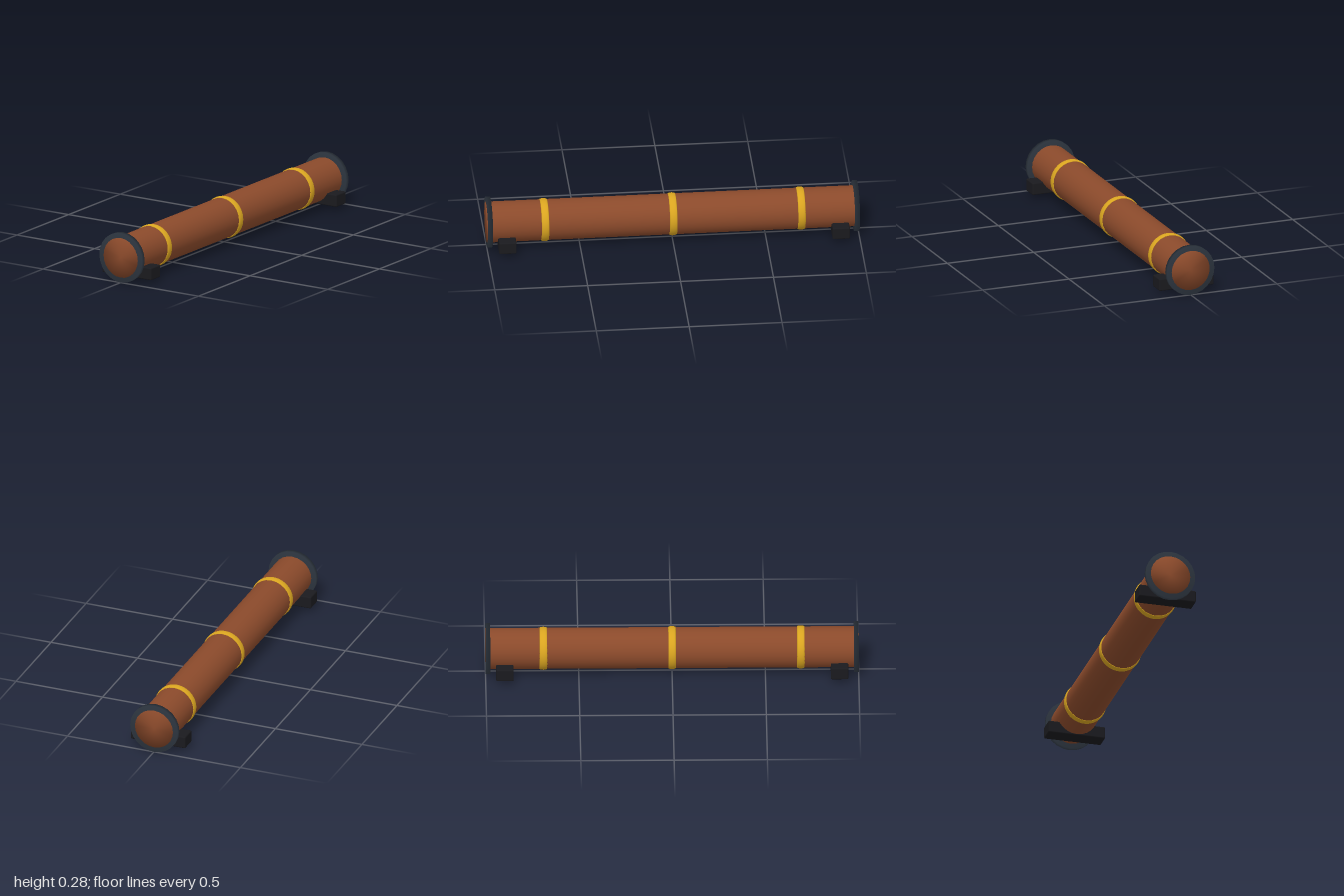
import * as THREE from 'three';
import { mergeVertices } from 'three/addons/utils/BufferGeometryUtils.js';
import { RoundedBoxGeometry } from 'three/addons/geometries/RoundedBoxGeometry.js';

const AXIS_Y = 0.1375;

const paint = (color) => new THREE.MeshStandardMaterial({ color });

// Closed cylinder along z whose caps share smooth normals with the wall
function softCylinder(radius, length) {
  const raw = new THREE.CylinderGeometry(radius, radius, length, 24);
  raw.deleteAttribute('normal');
  raw.deleteAttribute('uv');
  raw.rotateX(Math.PI / 2);
  raw.rotateZ(Math.PI);
  const geometry = mergeVertices(raw, 1e-5);
  geometry.computeVertexNormals();
  return geometry;
}

export function createModel() {
  const model = new THREE.Group();
  model.name = 'bandedTube';

  const add = (name, geometry, material, y, z) => {
    const mesh = new THREE.Mesh(geometry, material);
    mesh.name = name;
    mesh.position.set(0, y, z);
    model.add(mesh);
    return mesh;
  };

  const copper = paint(0x8b4a2b);
  const steel = paint(0x2c343e);
  const gold = paint(0xdaa520);
  const black = paint(0x1a1a1e);

  // Main tube, its ends just proud of the flanges
  add('tube', softCylinder(0.11, 2.001), copper, AXIS_Y, 0);

  // End flanges and the cross bars the tube rests in
  const flange = softCylinder(0.1375, 0.025);
  const bar = new RoundedBoxGeometry(0.316, 0.068, 0.094, 2, 0.007);
  for (const [end, s] of [['front', 1], ['back', -1]]) {
    add(end + 'Flange', flange, steel, AXIS_Y, s * 0.9875);
    add(end + 'Support', bar, black, 0.056, s * 0.897);
  }

  // Shallow rounded bands around the tube
  const band = new THREE.TorusGeometry(0.1095, 0.006, 12, 48);
  band.scale(1, 1, 3.4);
  for (const [name, z] of [['frontBand', 0.69], ['middleBand', 0], ['backBand', -0.69]]) {
    add(name, band, gold, AXIS_Y, z);
  }

  return model;
}
